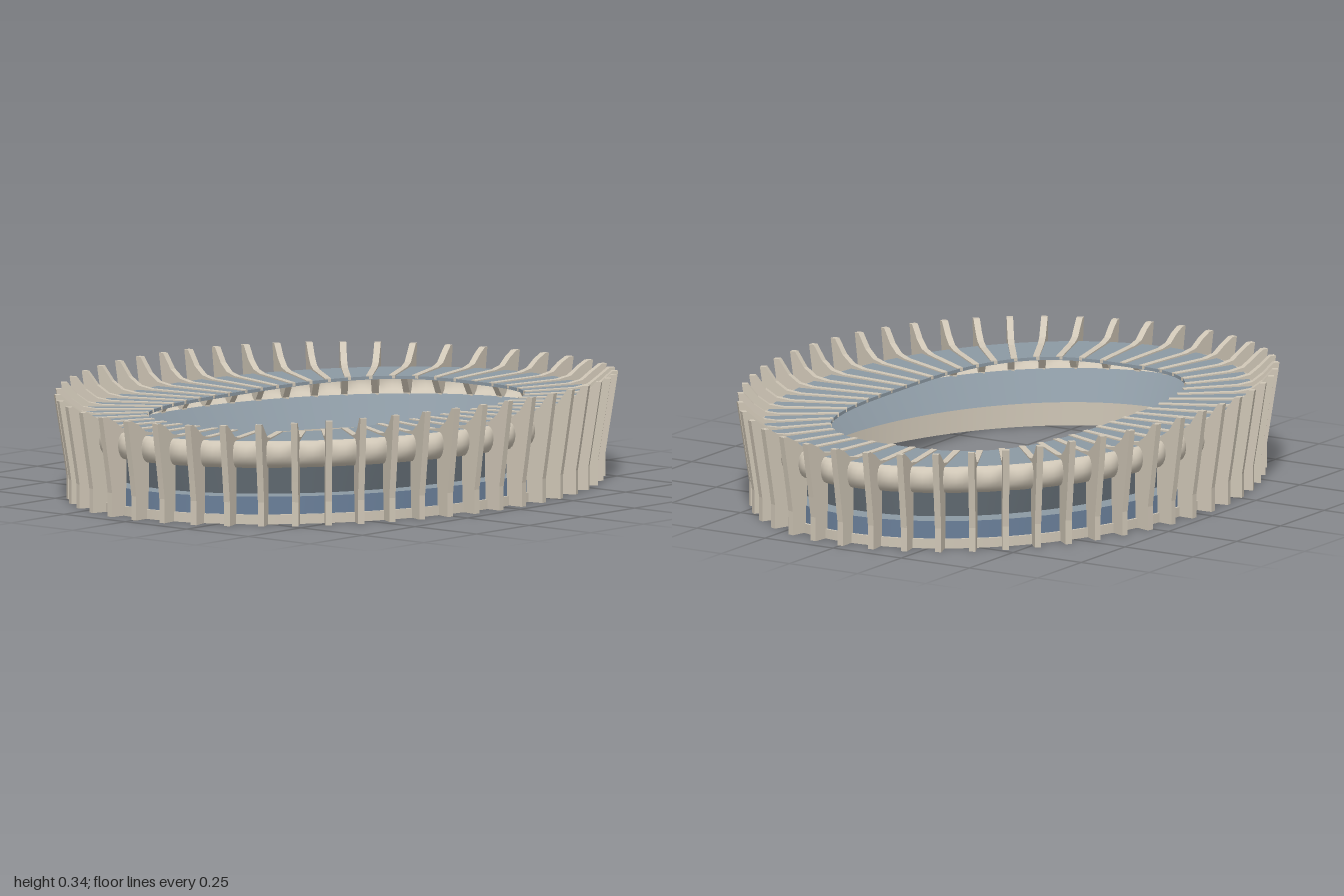
import * as THREE from 'three';

const RIBS = 50, PER_BAY = 6, N = RIBS * PER_BAY;

const flat = (name, color, side = THREE.DoubleSide) => {
  const m = new THREE.MeshStandardMaterial({ color, side });
  m.name = name;
  return m;
};

// Closed plan curve, exponent n (2 = ellipse), sampled at equal arc lengths from +z
function planRing(a, b, n = 2) {
  const pow = v => Math.sign(v) * Math.pow(Math.abs(v), 2 / n);
  const pts = [];
  for (let i = 0; i < 400; i++) {
    const t = (i / 400) * Math.PI * 2;
    pts.push(new THREE.Vector3(a * pow(Math.sin(t)), 0, b * pow(Math.cos(t))));
  }
  const curve = new THREE.CatmullRomCurve3(pts, true);
  curve.arcLengthDivisions = 2400;
  return curve.getSpacedPoints(N).slice(0, N);
}

const oval = a => planRing(a, a + 0.24);
const lift = (ring, y) => ring.map(p => new THREE.Vector3(p.x, y, p.z));

// Surface through a list of rings, wrapped around
function loft(rings) {
  const pos = [], idx = [];
  rings.forEach(r => r.forEach(p => pos.push(p.x, p.y, p.z)));
  for (let j = 0; j < rings.length - 1; j++) {
    for (let i = 0; i < N; i++) {
      const k = (i + 1) % N;
      const a = j * N + i, b = j * N + k, c = a + N, d = b + N;
      idx.push(a, b, d, a, d, c);
    }
  }
  const g = new THREE.BufferGeometry();
  g.setAttribute('position', new THREE.Float32BufferAttribute(pos, 3));
  g.setIndex(idx);
  g.computeVertexNormals();
  return g;
}

export function createModel() {
  const model = new THREE.Group();
  const concrete = flat('warm concrete', 0xcfc6b6);
  const metal = flat('grey blue metal', 0x8c99a3);
  const glass = flat('blue glass', 0x6a7f99);

  const add = (name, geometry, material) => {
    const mesh = new THREE.Mesh(geometry, material);
    mesh.name = name;
    model.add(mesh);
    return mesh;
  };
  // Straight-sided band between two oval rings
  const band = (name, a0, y0, a1, y1, material) =>
    add(name, loft([lift(oval(a0), y0), lift(oval(a1), y1)]), material);

  // Ground storey
  band('plinthWall', 0.67, 0, 0.67, 0.03, concrete);
  band('plinthLedge', 0.67, 0.03, 0.662, 0.03, concrete);
  band('plinthBottom', 0.645, 0, 0.67, 0, concrete);
  band('innerWall', 0.645, 0.085, 0.645, 0, concrete);
  band('glazing', 0.662, 0.03, 0.662, 0.085, glass);

  // Floor shelf and outward-leaning stand
  band('floorShelf', 0.662, 0.085, 0.595, 0.085, metal);
  band('leaningStand', 0.595, 0.085, 0.662, 0.178, metal);

  // Bulging parapet, scalloped between the ribs
  const parapet = [];
  for (let j = 0; j <= 8; j++) {
    const s = j / 8;
    const out = Math.sin(Math.PI * s);
    const ring = oval(0.662 + 0.01 * s + 0.022 * out);
    parapet.push(ring.map((p, i) => {
      const f = (i % PER_BAY) / PER_BAY;
      const puff = 0.02 * Math.sin(Math.PI * f) * out;
      const normal = new THREE.Vector3(p.x / 0.47, 0, p.z / 0.86).normalize();
      return new THREE.Vector3(p.x, 0.175 + 0.0425 * (1 - Math.cos(Math.PI * s)), p.z)
        .addScaledVector(normal, puff);
    }));
  }
  add('parapet', loft(parapet), concrete);

  // Roof ring around a rounded opening
  const hole = planRing(0.4, 0.655, 3);
  const eave = oval(0.675);
  add('roofTop', loft([lift(eave, 0.26), lift(hole, 0.26)]), metal);
  add('roofEdge', loft([lift(hole, 0.26), lift(hole, 0.25)]), metal);
  add('roofUnderside', loft([lift(hole, 0.25), lift(eave, 0.25)]), metal);

  // Radial ribs: fin outside, thin beam across the roof
  const tips = oval(0.76);
  const ribs = new THREE.Group();
  ribs.name = 'ribs';
  const up = new THREE.Vector3(0, 1, 0);
  for (let i = 0; i < RIBS; i++) {
    const tip = tips[i * PER_BAY], end = hole[i * PER_BAY];
    const inward = end.clone().sub(tip);
    const len = inward.length();
    inward.normalize();
    const top = 0.313 + 0.032 * (tip.x / 0.76) ** 2;
    const shape = new THREE.Shape([
      [0, top], [0.018, top], [0.05, 0.298], [0.085, 0.273], [0.13, 0.265], [len, 0.263],
      [len, 0.252], [0.15, 0.248], [0.1, 0.18], [0.1, 0], [0.04, 0], [0.04, 0.075], [0.03, 0.14],
    ].map(([x, y]) => new THREE.Vector2(x, y)));
    const g = new THREE.ExtrudeGeometry(shape, { depth: 0.02, bevelEnabled: false });
    g.translate(0, 0, -0.01);
    const rib = new THREE.Mesh(g, concrete);
    rib.name = 'rib';
    const across = new THREE.Vector3().crossVectors(inward, up);
    rib.quaternion.setFromRotationMatrix(new THREE.Matrix4().makeBasis(inward, up, across));
    rib.position.copy(tip);
    ribs.add(rib);
  }
  model.add(ribs);
  return model;
}
